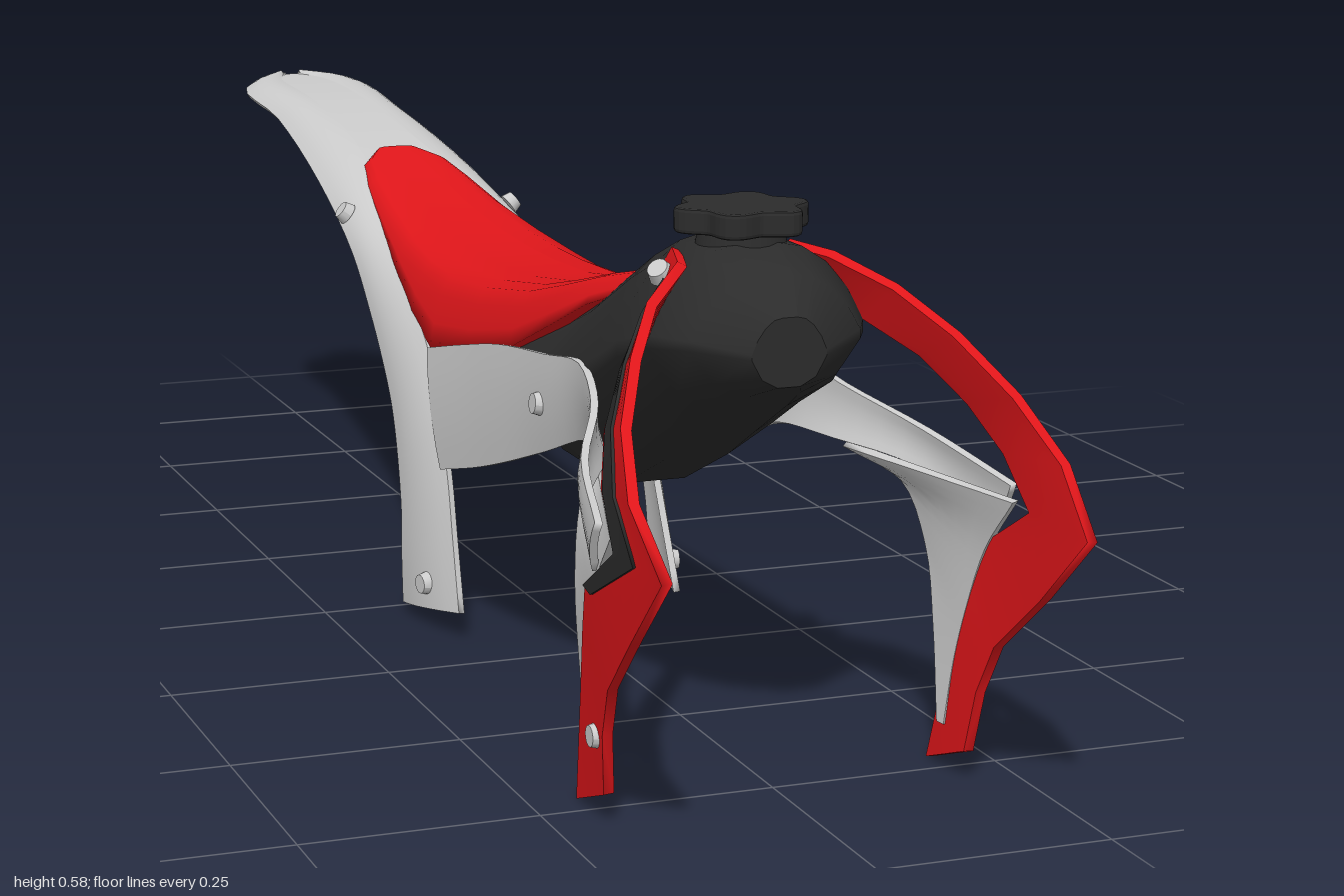
import * as THREE from 'three';

const material = (color) => new THREE.MeshStandardMaterial({ color, side: THREE.DoubleSide });
const grey = material(0xcccccc), red = material(0xe0161a), dark = material(0x2c2c2c);
const vec = (p) => new THREE.Vector3(...p);

// Index a grid of points, row by row
function gridIndex(rows, cols, flip = false) {
  const index = [];
  for (let i = 0; i < rows - 1; i++) for (let j = 0; j < cols - 1; j++) {
    const a = i * cols + j, b = a + 1, c = a + cols, d = c + 1;
    if (flip) index.push(a, b, c, b, d, c);
    else index.push(a, c, b, b, c, d);
  }
  return index;
}

function geometryFrom(points, index) {
  const g = new THREE.BufferGeometry().setFromPoints(points);
  g.setIndex(index);
  g.computeVertexNormals();
  return g;
}

// Thin curved panel spanning two rails, bulging outward, with closed rims
function panel(railA, railB, { smooth = true, bulge = 0, thick = 0.008, lift = 0 } = {}) {
  let A = railA.map(vec), B = railB.map(vec);
  if (smooth) {
    const n = (A.length - 1) * 4;
    [A, B] = [A, B].map((r) => new THREE.CatmullRomCurve3(r).getPoints(n));
  }
  const cols = 7, rows = A.length, base = [];
  for (let i = 0; i < rows; i++) for (let j = 0; j < cols; j++) base.push(A[i].clone().lerp(B[i], j / (cols - 1)));
  // Normals turned to face away from the middle of the model
  const outward = (pts) => {
    const n = geometryFrom(pts, gridIndex(rows, cols)).getAttribute('normal');
    let sum = 0;
    for (let k = 0; k < n.count; k++) sum += n.getX(k) + 0.5 * n.getY(k);
    const sign = sum < 0 ? -1 : 1;
    return { flip: sign < 0, normals: pts.map((p, k) => new THREE.Vector3().fromBufferAttribute(n, k).multiplyScalar(sign)) };
  };
  const baseNormals = outward(base).normals;
  const outer = base.map((p, k) => {
    const f = (k % cols) / (cols - 1);
    return p.clone().addScaledVector(baseNormals[k], lift + bulge * 4 * f * (1 - f));
  });
  const { flip, normals } = outward(outer);
  const inner = outer.map((p, k) => p.clone().addScaledVector(normals[k], -thick));
  const points = [...outer, ...inner];
  const index = gridIndex(rows, cols, flip);
  index.push(...gridIndex(rows, cols, !flip).map((k) => k + outer.length));
  // Rim loop round the edge, with its own vertices for a sharp border
  const loop = [];
  for (let j = 0; j < cols; j++) loop.push(j);
  for (let i = 1; i < rows; i++) loop.push(i * cols + cols - 1);
  for (let j = cols - 2; j >= 0; j--) loop.push((rows - 1) * cols + j);
  for (let i = rows - 2; i >= 0; i--) loop.push(i * cols);
  const start = points.length;
  for (const k of loop) points.push(outer[k].clone(), inner[k].clone());
  index.push(...gridIndex(loop.length, 2, flip).map((k) => k + start));
  return geometryFrom(points, index);
}

// Solid body through closed cross-sections from front to back, capped at both ends
function loft(sections) {
  const cols = sections[0].length + 1, points = [];
  for (const s of sections) points.push(...[...s, s[0]].map(vec));
  const index = gridIndex(sections.length, cols, true);
  for (const [row, turn] of [[0, 1], [sections.length - 1, 0]]) {
    const start = points.length;
    points.push(...sections[row].map(vec));
    for (let j = 1; j < cols - 2; j++) index.push(start, start + j + turn, start + j + 1 - turn);
  }
  return geometryFrom(points, index);
}

// Full ring from a half profile of [width, height] fractions, listed top to bottom
function ring(half, [z, top, bottom, width]) {
  const right = half.map(([u, v]) => [u * width, bottom + v * (top - bottom), z]);
  const left = right.slice().reverse().map(([x, y, w]) => [-x, y, w]);
  return [...right, ...left];
}

// Mirrored copy across x = 0, keeping faces outward
function mirror(geometry) {
  const g = geometry.clone().scale(-1, 1, 1), ix = g.index.array;
  for (let k = 0; k < ix.length; k += 3) [ix[k + 1], ix[k + 2]] = [ix[k + 2], ix[k + 1]];
  g.computeVertexNormals();
  return g;
}

export function createModel() {
  const model = new THREE.Group();
  const add = (name, geometry, mat) => {
    const mesh = new THREE.Mesh(geometry, mat);
    mesh.name = name;
    model.add(mesh);
    return mesh;
  };
  const addPair = (name, geometry, mat) => {
    add(name + 'Left', geometry, mat);
    add(name + 'Right', mirror(geometry), mat);
  };

  // Fuel tank: domed top, tapered belly; rows are z, top, bottom, half width
  const tankHalf = [[0.2, 1], [0.42, 0.97], [0.64, 0.87], [0.85, 0.7], [1, 0.5], [1, 0.42], [0.72, 0.13], [0.3, 0]];
  const tankRows = [[0.775, 0.495, 0.425, 0.04], [0.74, 0.53, 0.41, 0.092], [0.69, 0.553, 0.385, 0.118],
    [0.61, 0.553, 0.34, 0.118], [0.54, 0.525, 0.3, 0.118], [0.42, 0.465, 0.245, 0.117],
    [0.35, 0.435, 0.246, 0.112], [0.25, 0.405, 0.29, 0.105], [0.1, 0.36, 0.29, 0.09]];
  add('tank', loft(tankRows.map((r) => ring(tankHalf, r))), dark);

  // Filler neck and lobed cap
  add('fillerNeck', new THREE.CylinderGeometry(0.043, 0.048, 0.03, 24), dark).position.set(0, 0.555, 0.65);
  const star = [];
  for (let k = 0; k < 72; k++) {
    const a = (k / 72) * Math.PI * 2, r = 0.061 + 0.008 * Math.cos(6 * a);
    star.push(new THREE.Vector2(r * Math.cos(a), r * Math.sin(a)));
  }
  const capGeometry = new THREE.ExtrudeGeometry(new THREE.Shape(star),
    { depth: 0.018, bevelSize: 0.003, bevelThickness: 0.004, bevelSegments: 2 });
  add('fillerCap', capGeometry.rotateX(-Math.PI / 2), dark).position.set(0, 0.566, 0.65);

  // Seat: long saddle with dropped sides
  const seatHalf = [[0.3, 1], [0.6, 0.97], [0.78, 0.88], [0.88, 0.65], [0.96, 0.3], [1, 0], [0.5, 0]];
  const seatRows = [[0.48, 0.492, 0.472, 0.042], [0.42, 0.478, 0.445, 0.08], [0.34, 0.457, 0.405, 0.097],
    [0.25, 0.436, 0.365, 0.107], [0.12, 0.417, 0.335, 0.113], [0, 0.411, 0.315, 0.118], [-0.08, 0.411, 0.343, 0.115],
    [-0.18, 0.417, 0.378, 0.104], [-0.3, 0.433, 0.408, 0.086], [-0.4, 0.452, 0.435, 0.072],
    [-0.46, 0.465, 0.45, 0.06], [-0.5, 0.473, 0.46, 0.03]];
  add('seat', loft(seatRows.map((r) => ring(seatHalf, r))), red);

  // Rear fender: crowned centre strip and sides sweeping down into legs
  const fenderTop = [[0.01, 0.502, -1], [0.03, 0.503, -0.94], [0.035, 0.498, -0.75], [0.047, 0.464, -0.49],
    [0.083, 0.412, -0.3], [0.1, 0.38, -0.18], [0.112, 0.347, -0.08], [0.12, 0.31, 0],
    [0.127, 0.25, 0.06], [0.13, 0.18, 0.1], [0.133, 0.12, 0.125], [0.137, 0.036, 0.16]];
  const fenderEdge = [[0.014, 0.5, -0.998], [0.082, 0.494, -0.94], [0.09, 0.478, -0.75], [0.108, 0.432, -0.49],
    [0.122, 0.375, -0.3], [0.134, 0.325, -0.19], [0.143, 0.28, -0.11], [0.15, 0.235, -0.05],
    [0.155, 0.18, -0.012], [0.158, 0.12, 0.01], [0.16, 0.07, 0.016], [0.16, 0.014, 0.02]];
  const centre = fenderTop.slice(0, 8);
  add('fenderCentre', panel(centre, centre.map(([x, y, z]) => [-x, y, z])), grey);
  addPair('fenderSide', panel(fenderTop, fenderEdge, { bulge: 0.007 }), grey);

  // Side panel with an arm flaring out to the shroud
  const panelTop = [[0.122, 0.315, 0], [0.12, 0.345, 0.13], [0.12, 0.37, 0.25], [0.121, 0.39, 0.4], [0.122, 0.403, 0.51],
    [0.142, 0.382, 0.6], [0.19, 0.352, 0.7], [0.224, 0.322, 0.83]];
  const panelBottom = [[0.136, 0.19, 0.09], [0.132, 0.218, 0.2], [0.128, 0.245, 0.29], [0.12, 0.282, 0.4], [0.112, 0.32, 0.51],
    [0.132, 0.322, 0.6], [0.188, 0.307, 0.7], [0.215, 0.265, 0.8]];
  addPair('sidePanel', panel(panelTop, panelBottom, { bulge: 0.004 }), grey);

  // Bracket dropping from the arm behind the shroud
  const bracketFront = [[0.216, 0.31, 0.85], [0.213, 0.25, 0.8], [0.208, 0.18, 0.772], [0.203, 0.12, 0.757], [0.197, 0.05, 0.75]];
  const bracketBack = [[0.14, 0.322, 0.61], [0.18, 0.295, 0.67], [0.196, 0.23, 0.7], [0.198, 0.15, 0.718], [0.195, 0.05, 0.738]];
  addPair('bracket', panel(bracketFront, bracketBack), grey);

  // Front shroud: arrow-shaped blade bent at the nose
  const shroudFront = [[0.065, 0.543, 0.625], [0.085, 0.541, 0.69], [0.135, 0.512, 0.735], [0.175, 0.472, 0.795],
    [0.21, 0.42, 0.86], [0.229, 0.365, 0.93], [0.223, 0.305, 1], [0.22, 0.225, 0.915],
    [0.212, 0.155, 0.835], [0.207, 0.1, 0.808], [0.201, 0.035, 0.797]];
  const shroudBack = [[0.08, 0.505, 0.61], [0.095, 0.492, 0.645], [0.125, 0.473, 0.69], [0.165, 0.443, 0.74],
    [0.198, 0.4, 0.785], [0.218, 0.355, 0.83], [0.223, 0.305, 0.88], [0.219, 0.25, 0.79],
    [0.213, 0.2, 0.768], [0.207, 0.13, 0.747], [0.199, 0.004, 0.715]];
  addPair('shroud', panel(shroudFront, shroudBack, { smooth: false, thick: 0.011 }), red);

  // Dark inlay following the bend of the shroud, as fractions across the blade
  const inlay = [[0.45, 0.72], [0.4, 0.75], [0.4, 0.75], [0.42, 0.78], [0.45, 0.85], [0.54, 0.97], [0.82, 0.99]];
  const inlayRail = (side) => inlay.map((f, i) => vec(shroudFront[i + 1]).lerp(vec(shroudBack[i + 1]), f[side]).toArray());
  addPair('shroudInlay', panel(inlayRail(0), inlayRail(1), { smooth: false, thick: 0.005, lift: 0.003 }), dark);

  // Bolts: position and outward direction
  const bolts = [[[0.126, 0.335, 0.395], [1, 0.1, 0]], [[0.112, 0.415, -0.365], [0.8, 0.6, 0]],
    [[0.156, 0.055, 0.09], [1, 0, 0.2]], [[0.206, 0.093, 0.785], [1, 0, 0]], [[0.09, 0.525, 0.655], [0.6, 0.7, 0.4]]];
  for (const [at, dir] of bolts) {
    const turn = new THREE.Quaternion().setFromUnitVectors(new THREE.Vector3(0, 1, 0), vec(dir).normalize());
    const bolt = new THREE.CylinderGeometry(0.011, 0.014, 0.012, 16).applyQuaternion(turn).translate(...at);
    addPair('bolt', bolt, grey);
  }
  return model;
}
